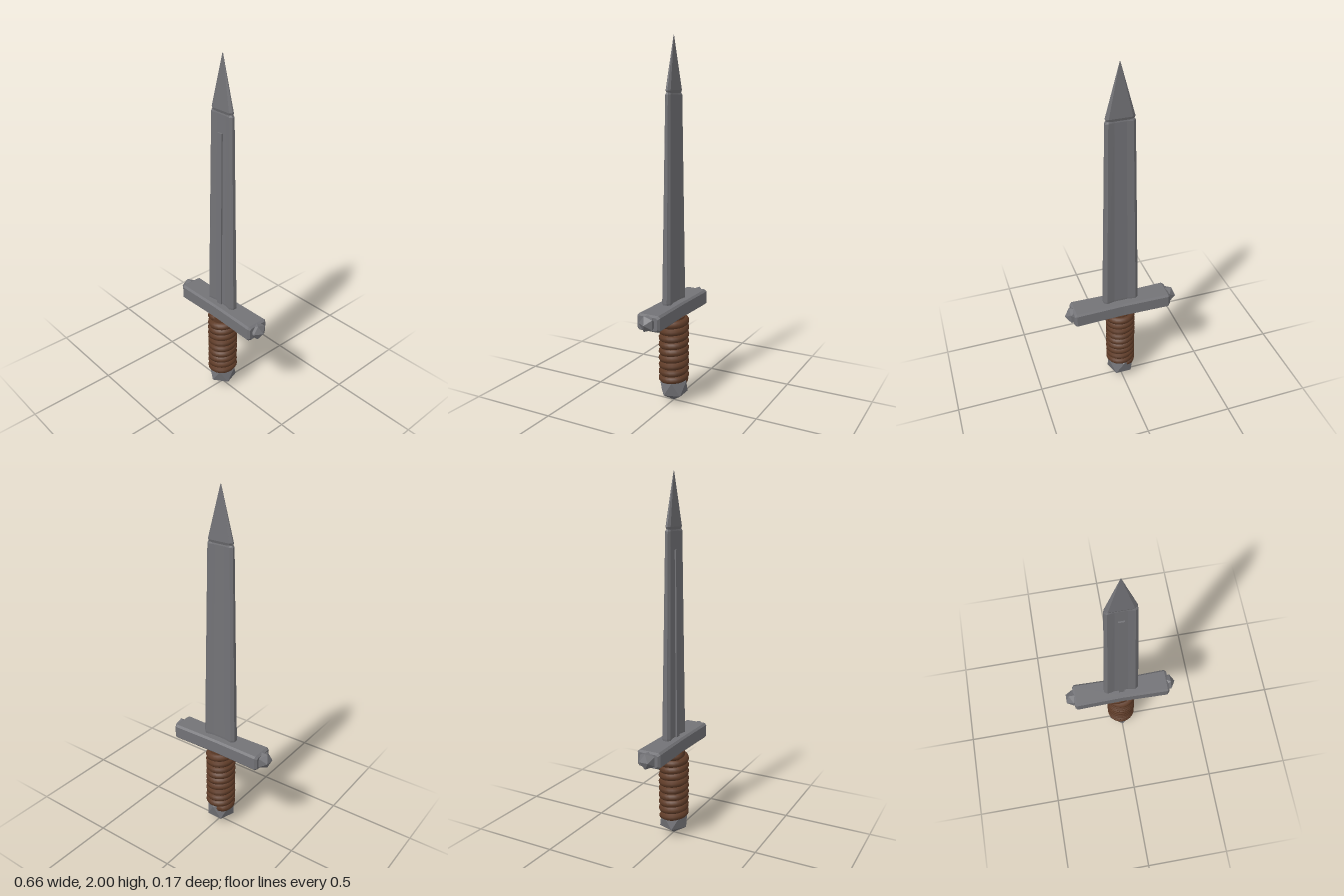
import * as THREE from 'three';

const steel = new THREE.MeshStandardMaterial({ color: 0x737377 });
steel.name = 'steel';
const leather = new THREE.MeshStandardMaterial({ color: 0x5e3b27 });
leather.name = 'leather';

// Faceted solid through rings of equal point count, with closed ends
function loft(rings) {
  const pos = [];
  const tri = (a, b, c) => pos.push(...a, ...b, ...c);
  const n = rings[0].length;
  const centre = (r) => [0, 1, 2].map((k) => r.reduce((s, p) => s + p[k], 0) / n);
  const first = rings[0], last = rings[rings.length - 1];
  const c0 = centre(first), c1 = centre(last);
  for (let j = 0; j < n; j++) {
    const k = (j + 1) % n;
    for (let i = 0; i < rings.length - 1; i++) {
      tri(rings[i][j], rings[i][k], rings[i + 1][k]);
      tri(rings[i][j], rings[i + 1][k], rings[i + 1][j]);
    }
    tri(c0, first[k], first[j]);
    tri(c1, last[j], last[k]);
  }
  const g = new THREE.BufferGeometry();
  g.setAttribute('position', new THREE.Float32BufferAttribute(pos, 3));
  g.computeVertexNormals();
  return g;
}

// Complete a half section by turning it half a revolution
const fullSection = (half) => [...half, ...half.map(([u, v]) => [-u, -v])];

// Helical cord whose ends dip into the grip core
class Winding extends THREE.Curve {
  getPoint(t, target = new THREE.Vector3()) {
    const a = -Math.PI / 2 - t * Math.PI * 2 * 9.5;
    const r = 0.064 - 0.03 * Math.max(0, 1 - Math.min(t, 1 - t) / 0.012);
    return target.set(r * Math.cos(a), 0.112 + 0.378 * t, r * Math.sin(a));
  }
}

export function createModel() {
  const sword = new THREE.Group();
  sword.name = 'sword';
  const add = (name, geometry, material) => {
    const mesh = new THREE.Mesh(geometry, material);
    mesh.name = name;
    sword.add(mesh);
    return mesh;
  };

  // Hollow-ground blade: [height, depth scale, width scale]
  const bladeSection = fullSection([
    [0.017, 0.04], [0.026, 0.085], [0.012, 0.103],
    [-0.012, 0.103], [-0.026, 0.085], [-0.017, 0.04],
  ]);
  const bladeRings = [
    [0.57, 0.9, 0.97], [0.595, 1, 1], [1.7, 0.6, 0.76], [1.71, 0.45, 0.72],
  ].map(([y, d, w]) => bladeSection.map(([z, x]) => [x * w, y, z * d]));
  add('blade', loft(bladeRings), steel);

  // Separate pointed tip
  const tipSection = fullSection([
    [0.015, 0.062], [0.004, 0.077], [-0.004, 0.077], [-0.015, 0.062],
  ]);
  const tipRings = [
    [1.708, 0.7, 0.93], [1.722, 1, 1], [2, 0.05, 0.02],
  ].map(([y, d, w]) => tipSection.map(([z, x]) => [x * w, y, z * d]));
  add('bladeTip', loft(tipRings), steel);

  // Raised strip leaning with the front of the blade
  const strip = add('bladeStrip', new THREE.BoxGeometry(0.032, 1.03, 0.008), steel);
  strip.position.set(0, 1.09, 0.021);
  strip.rotation.x = -0.0065;

  // Chamfered crossguard, slightly waisted: [x, height scale, depth scale]
  const guardSection = fullSection([
    [0.045, -0.057], [0.045, 0.057], [0.034, 0.068], [-0.034, 0.068],
  ]);
  const guardRings = [
    [-0.287, 0.8, 0.85], [-0.274, 1, 1], [0, 0.97, 0.91], [0.274, 1, 1], [0.287, 0.8, 0.85],
  ].map(([x, h, d]) => guardSection.map(([y, z]) => [x, 0.54 + y * h, z * d]));
  add('crossguard', loft(guardRings), steel);

  // Faceted studs on the guard ends, one edge-on and one point-on
  const tilt = Math.atan(2 / (1 + Math.sqrt(5)));
  add('rightStud', new THREE.IcosahedronGeometry(0.05).translate(-0.29, 0.54, 0), steel);
  add('leftStud', new THREE.IcosahedronGeometry(0.05).rotateY(-tilt).translate(0.28, 0.54, 0), steel);

  // Grip core and leather winding
  add('gripCore', new THREE.CylinderGeometry(0.062, 0.062, 0.4, 16).translate(0, 0.3, 0), leather);
  add('gripWinding', new THREE.TubeGeometry(new Winding(), 240, 0.022, 8), leather);

  // Faceted pommel standing on one point
  const pommel = new THREE.IcosahedronGeometry(0.088).rotateZ(-tilt).rotateY(Math.PI / 2);
  add('pommel', pommel.translate(0, 0.088, 0), steel);

  return sword;
}
